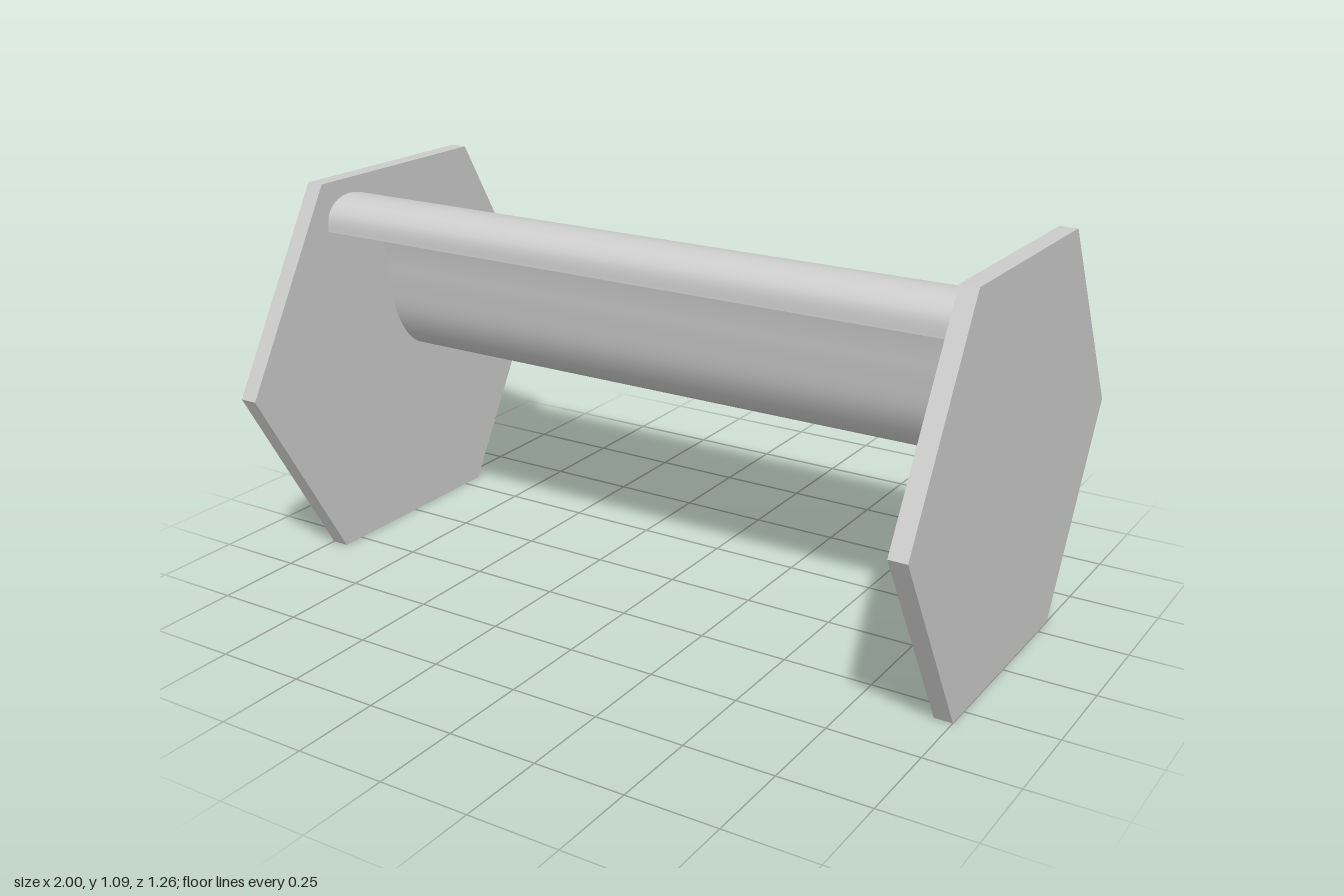
import * as THREE from 'three';
import { toCreasedNormals } from 'three/addons/utils/BufferGeometryUtils.js';

const WIDTH = 1.9;
const THICKNESS = 0.02;
const PLATE = 0.05;
const RADIUS = 0.632;

// Centre line of the bent seat sheet as (z, y): seat lip, dip, backrest, top curl
const PROFILE = [
  [-0.582, 0.515], [-0.575, 0.55], [-0.545, 0.573], [-0.49, 0.575], [-0.4, 0.553],
  [-0.3, 0.529], [-0.2, 0.521], [-0.1, 0.533], [-0.03, 0.57], [0.022, 0.65],
  [0.045, 0.75], [0.062, 0.86], [0.087, 0.96], [0.13, 1.02], [0.2, 1.04],
  [0.255, 1.03], [0.286, 1.0], [0.292, 0.955],
];

// Give the centre line a thickness and sweep it across the bench
function sheetGeometry() {
  const curve = new THREE.SplineCurve(PROFILE.map(([z, y]) => new THREE.Vector2(z, y)));
  const upper = [], lower = [];
  const steps = 90;
  for (let i = 0; i <= steps; i++) {
    const p = curve.getPoint(i / steps);
    const t = curve.getTangent(i / steps);
    const n = new THREE.Vector2(-t.y, t.x).multiplyScalar(THICKNESS / 2);
    upper.push(p.clone().add(n));
    lower.push(p.clone().sub(n));
  }
  const shape = new THREE.Shape([...lower, ...upper.reverse()]);
  const geometry = new THREE.ExtrudeGeometry(shape, { depth: WIDTH, bevelEnabled: false });
  geometry.rotateY(-Math.PI / 2).translate(WIDTH / 2, 0, 0);
  return toCreasedNormals(geometry, 0.6);
}

export function createModel() {
  const group = new THREE.Group();
  group.name = 'bench';

  // Curved seat and backrest in one sheet
  const seat = new THREE.Mesh(sheetGeometry(), new THREE.MeshStandardMaterial({ color: 0xcccccc }));
  seat.name = 'seatAndBackrest';
  group.add(seat);

  // Hexagonal end plates standing on a flat side
  const plateGeometry = new THREE.CylinderGeometry(RADIUS, RADIUS, PLATE, 6).rotateZ(Math.PI / 2);
  const plateMaterial = new THREE.MeshStandardMaterial({ color: 0xcccccc, flatShading: true });
  for (const side of [1, -1]) {
    const plate = new THREE.Mesh(plateGeometry, plateMaterial);
    plate.name = side > 0 ? 'leftEndPlate' : 'rightEndPlate';
    plate.position.set(side * (WIDTH + PLATE) / 2, RADIUS * Math.sqrt(3) / 2, 0);
    group.add(plate);
  }
  return group;
}
